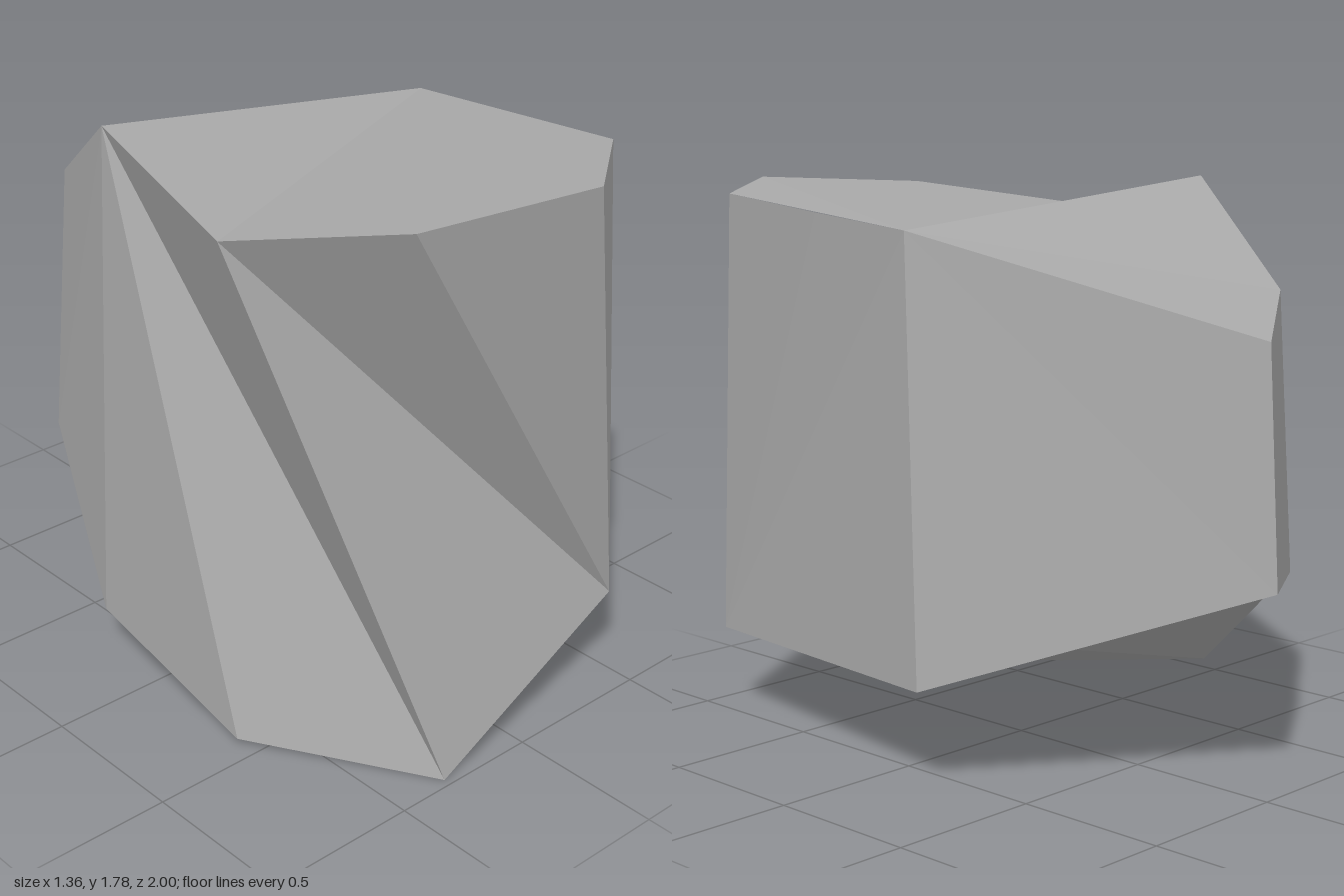
import * as THREE from 'three';

const stone = new THREE.MeshStandardMaterial({ color: 0xa8a8a8 });
stone.name = 'stoneGrey';

// Corners of the boulder
const corners = {
  // top rim
  A: [0.62, 1.66, -0.13], B: [-0.56, 1.78, -0.26], C: [-0.68, 1.66, 0.41],
  F: [-0.36, 1.73, 0.85], D: [0.21, 1.76, 1.0], E: [0.575, 1.73, 0.72],
  G: [0.583, 1.69, 0.3],
  // back shoulder
  K: [-0.04, 1.35, -0.95], L: [-0.37, 1.46, -0.73],
  // lower rim
  H: [0.5, 0.28, 0.89], J: [0.68, 0.32, -0.23], Q: [-0.03, 0.62, -1.0],
  R: [-0.445, 0.575, -0.735], M: [-0.64, 0.16, -0.24],
  N: [-0.655, 0.02, 0.43], P: [-0.31, 0, 0.975],
};

// Facets as corner loops, each fanned from its first corner
const facets = {
  top: ['ABC', 'ACF', 'AFDEG', 'AKLB'],
  walls: ['AGHJ', 'EGH', 'DEH', 'FDH', 'CFHP', 'CPB', 'BPN', 'BNM', 'BMRL', 'LRQK', 'AKQJ'],
  underside: ['JQR', 'HJR', 'HRM', 'HMN', 'HNP'],
};

function facetGeometry(loops) {
  const centre = new THREE.Vector3(0, 0.95, 0.1);
  const points = [];
  for (const loop of loops) {
    const p = [...loop].map((name) => new THREE.Vector3(...corners[name]));
    for (let i = 1; i < p.length - 1; i++) {
      const [a, b, c] = [p[0], p[i], p[i + 1]];
      // turn every triangle to face away from the core
      const normal = b.clone().sub(a).cross(c.clone().sub(a));
      const outward = normal.dot(a.clone().sub(centre)) > 0;
      points.push(a, ...(outward ? [b, c] : [c, b]));
    }
  }
  const geometry = new THREE.BufferGeometry().setFromPoints(points);
  geometry.computeVertexNormals(); // unshared corners give flat facets
  return geometry;
}

export function createModel() {
  const boulder = new THREE.Group();
  boulder.name = 'boulder';
  for (const [name, loops] of Object.entries(facets)) {
    const mesh = new THREE.Mesh(facetGeometry(loops), stone);
    mesh.name = name;
    boulder.add(mesh);
  }
  return boulder;
}
